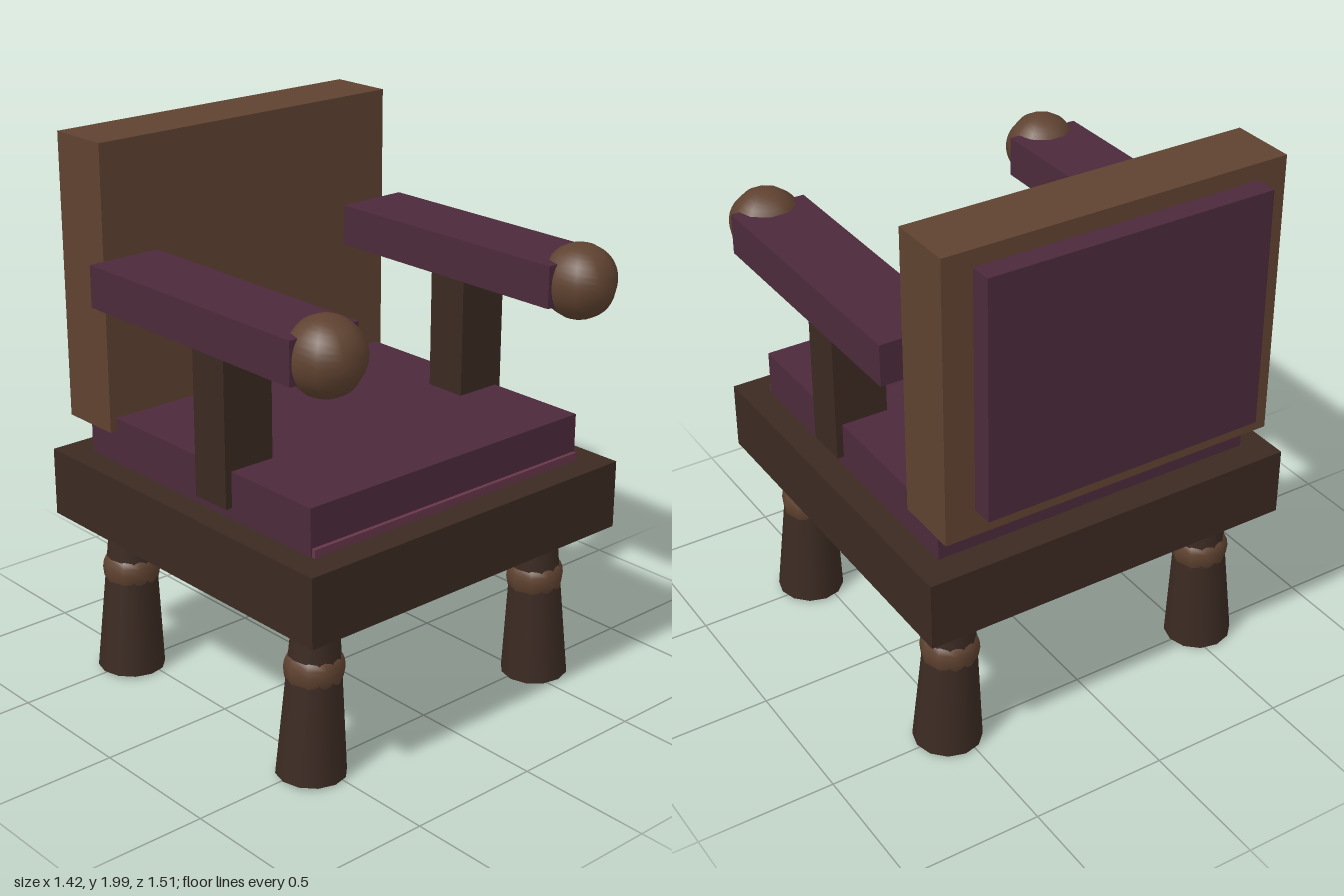
import * as THREE from 'three';

const mat = (color) => new THREE.MeshStandardMaterial({ color });

export function createModel() {
  const chair = new THREE.Group();
  chair.name = 'armchair';
  const darkWood = mat(0x3b2a22), wood = mat(0x5f4230);
  const fabric = mat(0x4c2a3b), trim = mat(0x663649);

  const add = (name, geometry, material, parent = chair) => {
    const mesh = new THREE.Mesh(geometry, material);
    mesh.name = name;
    parent.add(mesh);
    return mesh;
  };
  // Box given by its extents on each axis
  const box = (name, material, [x0, x1], [y0, y1], [z0, z1]) =>
    add(name, new THREE.BoxGeometry(x1 - x0, y1 - y0, z1 - z0), material)
      .position.set((x0 + x1) / 2, (y0 + y1) / 2, (z0 + z1) / 2);

  // Seat
  box('seatFrame', darkWood, [-0.71, 0.71], [0.6, 0.85], [-0.69, 0.72]);
  box('seatCushion', fabric, [-0.615, 0.615], [0.85, 1.02], [-0.58, 0.605]);
  box('cushionTrim', trim, [-0.61, 0.61], [0.85, 0.88], [0.58, 0.62]);

  // Backrest with upholstered rear panel
  box('backrest', wood, [-0.64, 0.64], [0.97, 2], [-0.67, -0.43]);
  box('rearPanel', fabric, [-0.53, 0.53], [1.07, 1.94], [-0.75, -0.67]);

  // Turned collar profile
  const collar = [[0.085, -0.055], [0.099, -0.035], [0.104, 0], [0.101, 0.025], [0.093, 0.045], [0.08, 0.055]]
    .map(([r, y]) => new THREE.Vector2(r, y));

  for (const side of [1, -1]) {
    const label = side > 0 ? 'left' : 'right';
    const span = (a, b) => (side > 0 ? [a, b] : [-b, -a]);

    // Arms
    box(label + 'Armrest', fabric, span(0.43, 0.71), [1.45, 1.6], [-0.41, 0.62]);
    box(label + 'ArmSupport', darkWood, span(0.44, 0.64), [0.89, 1.45], [0.05, 0.21]);
    add(label + 'ArmKnob', new THREE.SphereGeometry(0.133, 10, 20), wood)
      .position.set(side * 0.573, 1.523, 0.63);

    // Tapered, slightly splayed legs
    for (const [end, z] of [['Front', 0.52], ['Back', -0.495]]) {
      const leg = new THREE.Group();
      leg.name = label + end + 'Leg';
      leg.position.set(side * 0.532, 0.31, z);
      leg.rotation.z = side * 0.04;
      add('legShaft', new THREE.CylinderGeometry(0.078, 0.123, 0.6, 12), darkWood, leg);
      const ring = add('legCollar', new THREE.LatheGeometry(collar, 10), wood, leg);
      ring.position.y = 0.09;
      ring.rotation.y = Math.PI / 2;
      chair.add(leg);
    }
  }
  return chair;
}
